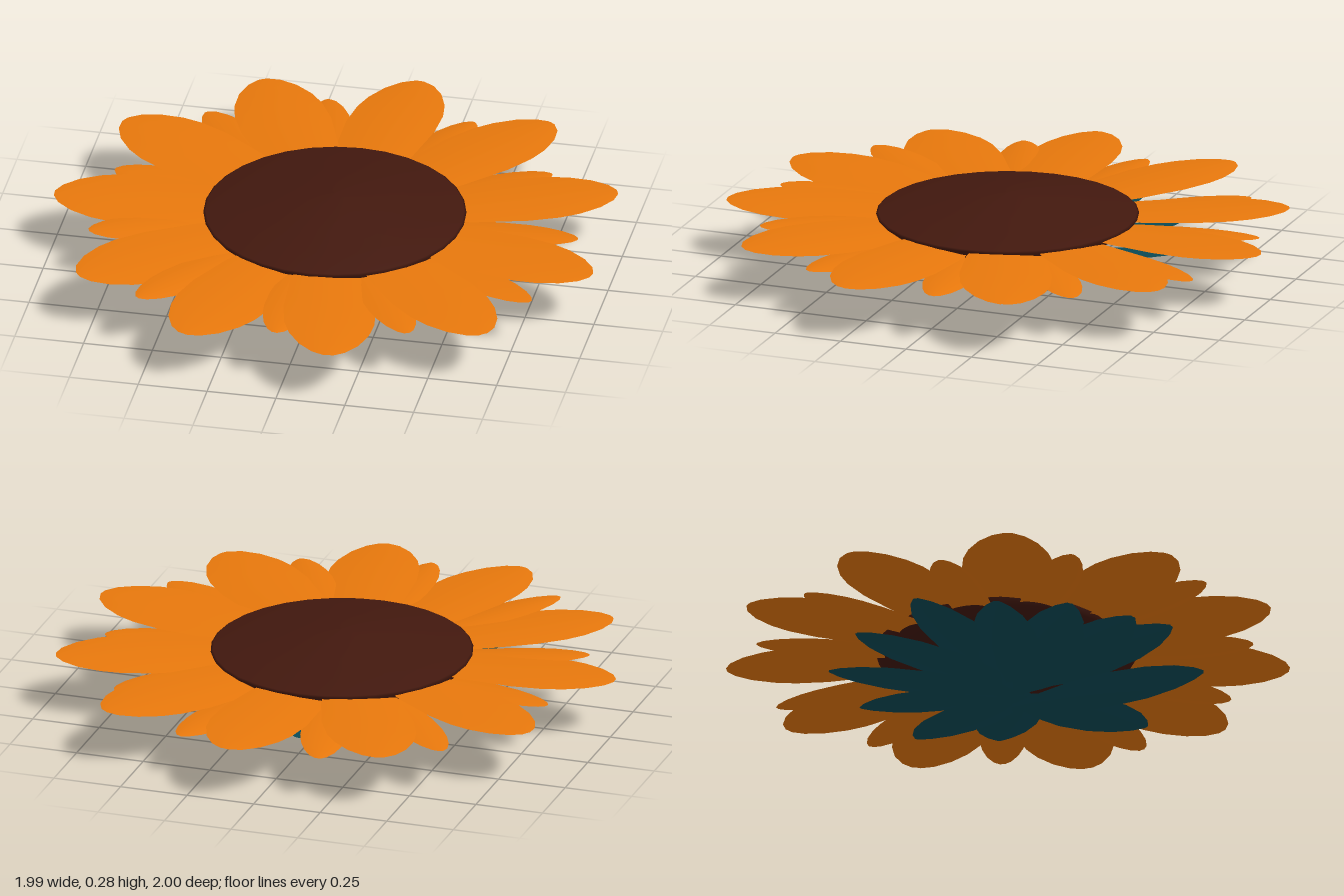
import * as THREE from 'three';

const orange = new THREE.MeshStandardMaterial({ color: 0xe8780c, side: THREE.DoubleSide });
const brown = new THREE.MeshStandardMaterial({ color: 0x42180e });
const teal = new THREE.MeshStandardMaterial({ color: 0x0b4b57, side: THREE.DoubleSide });

// Outlines as [position along the leaf, share of the full half width]
const petalOutline = [[0, 0.45], [0.15, 0.7], [0.3, 0.87], [0.55, 1], [0.7, 0.97], [0.8, 0.86], [0.9, 0.64], [0.97, 0.36], [1, 0.1]];
const sepalOutline = [[0, 0.2], [0.12, 0.5], [0.3, 0.85], [0.5, 1], [0.7, 0.92], [0.85, 0.68], [0.95, 0.36], [1, 0.08]];

// Thin leaf from base to tip; arch lifts the midrib, roll tips one edge over the neighbour
function leaf(base, tip, halfWidth, outline, { arch = 0, roll = 0 }) {
  const cols = 6, pos = [], idx = [];
  const side = new THREE.Vector3(base.z - tip.z, 0, tip.x - base.x).normalize();
  outline.forEach(([t, w], i) => {
    for (let j = 0; j <= cols; j++) {
      const v = (j / cols) * 2 - 1;
      const p = base.clone().lerp(tip, t).addScaledVector(side, v * w * halfWidth);
      p.y += (arch * (1 - v * v) + roll * v) * w;
      pos.push(p.x, p.y, p.z);
      if (i && j) {
        const d = i * (cols + 1) + j, c = d - 1, b = d - cols - 1, a = b - 1;
        idx.push(a, b, c, b, d, c);
      }
    }
  });
  // Wind so that the upper side is the front
  for (let k = 0; k < idx.length; k += 3) [idx[k + 1], idx[k + 2]] = [idx[k + 2], idx[k + 1]];
  const g = new THREE.BufferGeometry();
  g.setAttribute('position', new THREE.Float32BufferAttribute(pos, 3));
  g.setIndex(idx);
  g.computeVertexNormals();
  return g;
}

function addPart(parent, name, geometry, material) {
  const mesh = new THREE.Mesh(geometry, material);
  mesh.name = name;
  parent.add(mesh);
}

function addRing(parent, name) {
  const ring = new THREE.Group();
  ring.name = name;
  parent.add(ring);
  return ring;
}

export function createModel() {
  const flower = new THREE.Group();
  flower.name = 'flower';

  // Domed seed head with a stepped underside
  const profile = [[0, 0.11], [0.15, 0.115], [0.19, 0.135], [0.4, 0.155], [0.45, 0.18], [0.468, 0.208],
    [0.46, 0.214], [0.35, 0.235], [0.22, 0.259], [0.1, 0.278], [0, 0.285]];
  const head = new THREE.LatheGeometry(profile.map(([r, y]) => new THREE.Vector2(r, y)), 32);
  head.translate(0.008, 0, 0);
  addPart(flower, 'seedHead', head, brown);

  // Large outer petals, tips as [x, z]
  const petals = addRing(flower, 'petals');
  const petalTips = [[0.11, -1], [0.63, -0.8], [0.96, -0.36], [0.99, 0.25], [0.7, 0.74], [0.19, 1],
    [-0.35, 0.95], [-0.8, 0.61], [-1, 0.05], [-0.86, -0.52], [-0.44, -0.9]];
  for (const [x, z] of petalTips) {
    const base = new THREE.Vector3(x * 0.25, 0.195, z * 0.25);
    addPart(petals, 'petal', leaf(base, new THREE.Vector3(x, 0.199, z), 0.165, petalOutline, { arch: 0.008, roll: 0.007 }), orange);
  }

  // Small petals in a slightly tilted ring beneath
  const inner = addRing(flower, 'smallPetals');
  const smallTips = [[-0.2, -0.88], [0.34, -0.83], [0.69, -0.51], [0.88, -0.05], [0.81, 0.45], [0.43, 0.78],
    [-0.03, 0.88], [-0.56, 0.73], [-0.83, 0.27], [-0.83, -0.2], [-0.6, -0.69]];
  const tilt = (x, z) => 0.177 + 0.026 * z - 0.007 * x;
  for (const [x, z] of smallTips) {
    const base = new THREE.Vector3(x * 0.3, tilt(x * 0.3, z * 0.3), z * 0.3);
    addPart(inner, 'smallPetal', leaf(base, new THREE.Vector3(x, tilt(x, z), z), 0.085, petalOutline, { arch: 0.008, roll: 0.006 }), orange);
  }

  // Sepals below the head, as [tip x, tip z, tip y, base y]
  const sepals = addRing(flower, 'sepals');
  const sepalData = [[0.66, -0.05, 0.16, 0.08], [0.55, -0.34, 0.12, 0.06], [0.28, -0.53, 0.12, 0.07],
    [-0.04, -0.63, 0.118, 0.055], [-0.33, -0.52, 0.13, 0.07], [-0.57, -0.3, 0.15, 0.08],
    [-0.59, -0.01, 0.125, 0.06], [-0.55, 0.25, 0.13, 0.055], [-0.45, 0.47, 0.12, 0.06],
    [-0.28, 0.6, 0.16, 0.08], [0.06, 0.7, 0.137, 0.004], [0.46, 0.48, 0.11, 0.05]];
  for (const [x, z, tipY, baseY] of sepalData) {
    const base = new THREE.Vector3(0.05 + x * 0.02, baseY, 0.04 - z * 0.03);
    addPart(sepals, 'sepal', leaf(base, new THREE.Vector3(x, tipY, z), 0.12, sepalOutline, { arch: -0.012, roll: 0.012 }), teal);
  }

  return flower;
}
